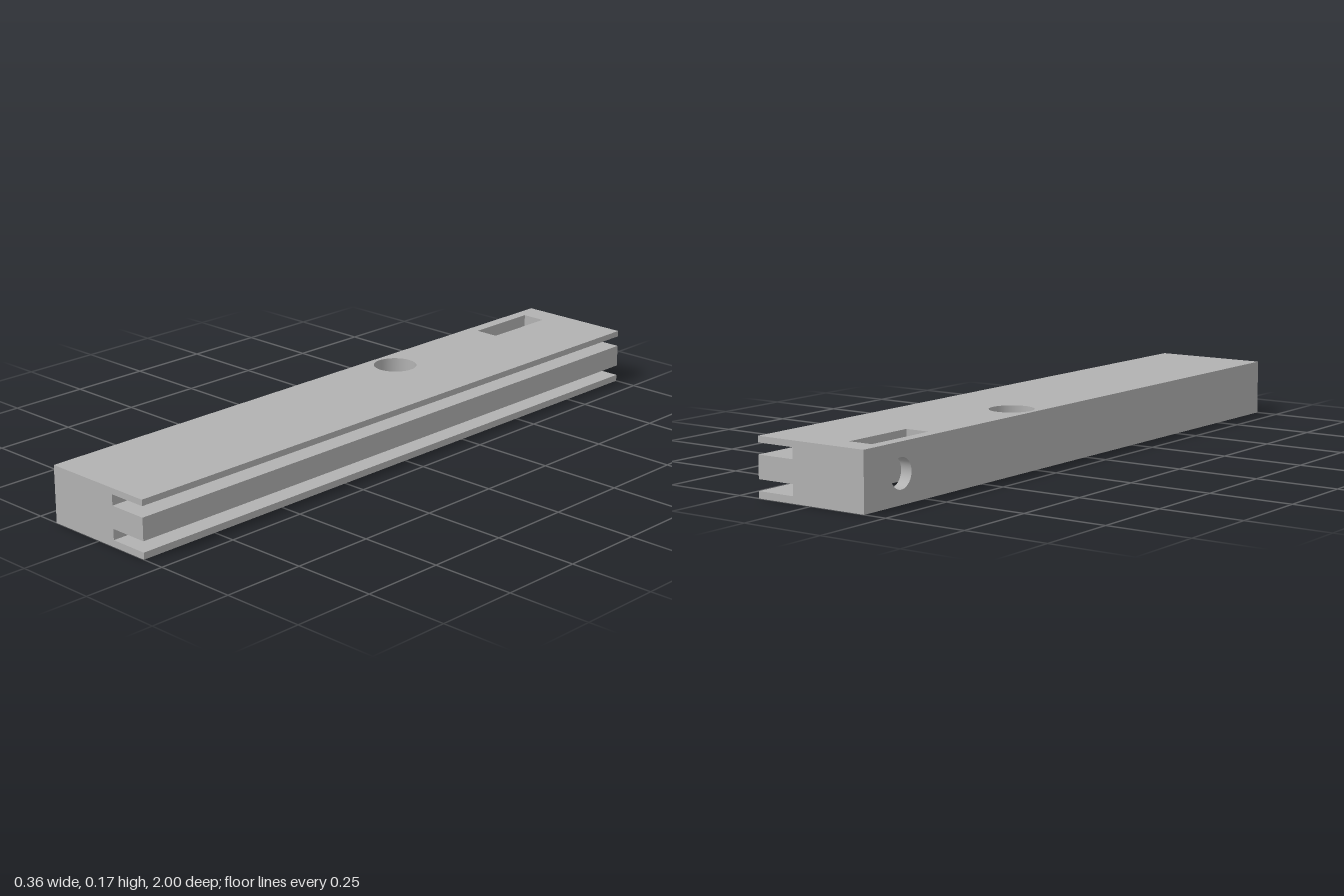
import * as THREE from 'three';

// Overall block
const X = 0.18, H = 0.168, Z = 1;
// Underside channel
const CL = -0.145, CR = 0.027, CB = -0.925, CF = 0.91, RAMP = 0.77, FLOOR = 0.09;
// Rectangular through slot in the top
const SR = -0.07, SF = -0.69;

const rect = (a0, a1, b0, b1) => [[a0, b0], [a1, b0], [a1, b1], [a0, b1]];

// Maps in-plane coordinates (a, b) and a distance along the axis to x, y, z
const place = {
  x: (a, b, d) => [d, b, a],
  y: (a, b, d) => [a, d, b],
  z: (a, b, d) => [a, b, d],
};

export function createModel() {
  const group = new THREE.Group();
  const grey = new THREE.MeshStandardMaterial({ color: 0xb2b2b2, side: THREE.DoubleSide });
  grey.name = 'grey';

  const add = (name, geometry) => {
    const mesh = new THREE.Mesh(geometry, grey);
    mesh.name = name;
    group.add(mesh);
    return mesh;
  };

  // Flat face across an axis, with optional holes; dir is the side it faces
  const face = (name, axis, at, dir, outline, holes = []) => {
    const shape = new THREE.Shape(outline.map(([a, b]) => new THREE.Vector2(a, b)));
    for (const h of holes) {
      const path = new THREE.Path();
      if (h.r) path.absarc(h.a, h.b, h.r, 0, Math.PI * 2);
      else path.setFromPoints(h.map(([a, b]) => new THREE.Vector2(a, b)));
      shape.holes.push(path);
    }
    const g = new THREE.ShapeGeometry(shape, 24);
    const p = g.attributes.position;
    for (let i = 0; i < p.count; i++) p.setXYZ(i, ...place[axis](p.getX(i), p.getY(i), at));
    g.computeVertexNormals();
    const n = g.attributes.normal;
    const side = { x: n.getX(0), y: n.getY(0), z: n.getZ(0) }[axis];
    if (side * dir < 0) {
      g.index.array.reverse();
      g.computeVertexNormals();
    }
    return add(name, g);
  };

  // Flat-sided strip: a polyline swept along an axis
  const sweep = (name, axis, from, to, line) => {
    const v = [];
    for (let i = 0; i < line.length - 1; i++) {
      const [a, b] = [line[i], line[i + 1]];
      const q = [[a, from], [b, from], [b, to], [a, to]].map(([p, d]) => place[axis](p[0], p[1], d));
      for (const k of [0, 2, 1, 0, 3, 2]) v.push(...q[k]);
    }
    const g = new THREE.BufferGeometry();
    g.setAttribute('position', new THREE.Float32BufferAttribute(v, 3));
    g.computeVertexNormals();
    return add(name, g);
  };

  // Round bore wall
  const bore = (name, r, depth, x, y, z) => {
    const mesh = add(name, new THREE.CylinderGeometry(r, r, depth, 48, 1, true));
    mesh.position.set(x, y, z);
    return mesh;
  };

  const topHole = { a: -0.1, b: -0.255, r: 0.065 };
  const underHole = { a: -0.095, b: 0.54, r: 0.05 };
  const sideHole = { a: -0.85, b: 0.084, r: 0.043 };
  const slot = rect(CL, SR, CB, SF);
  const pocketY = 0.123;

  // Outer faces
  face('topFace', 'y', H, 1, rect(-X, X, -Z, Z), [slot, topHole]);
  face('bottomFace', 'y', 0, -1, rect(-X, X, -Z, Z), [rect(CL, CR, CB, CF)]);
  face('plainSide', 'x', -X, -1, rect(-Z, Z, 0, H), [sideHole]);

  // Grooved side and the two ends sharing its profile
  const grooves = [[X, 0], [X, 0.02], [0.06, 0.02], [0.06, 0.052], [X, 0.052],
    [X, 0.118], [0.06, 0.118], [0.06, 0.15], [X, 0.15], [X, H]];
  sweep('groovedSide', 'z', Z, -Z, grooves);
  for (const s of [-1, 1]) {
    face(s > 0 ? 'frontEnd' : 'backEnd', 'z', s * Z, s, [[-X, 0], ...grooves, [-X, H]]);
  }

  // Channel walls, the outer one carrying on up into the top slot
  face('channelInnerWall', 'x', CR, -1, [[CB, 0], [CF, 0], [RAMP, FLOOR], [CB, FLOOR]]);
  face('channelOuterWall', 'x', CL, 1,
    [[CB, 0], [CF, 0], [RAMP, FLOOR], [SF, FLOOR], [SF, H], [CB, H]], [sideHole]);
  face('channelBackWall', 'z', CB, 1, rect(CL, CR, 0, FLOOR));
  sweep('channelRamp', 'x', CL, CR, [[CF, 0], [RAMP, FLOOR]]);
  face('channelFloor', 'y', FLOOR, -1, rect(CL, CR, CB, RAMP), [slot, underHole]);

  // Remaining walls of the top slot
  sweep('slotWalls', 'y', FLOOR, H, [[CL, SF], [SR, SF], [SR, CB], [CL, CB]]);

  // Blind round pockets from above and below
  for (const [name, h, y] of [['topPocket', topHole, H], ['underPocket', underHole, FLOOR]]) {
    bore(name + 'Wall', h.r, Math.abs(y - pocketY), h.a, (y + pocketY) / 2, h.b);
    const end = add(name + 'End', new THREE.CircleGeometry(h.r, 48));
    end.rotation.x = y > pocketY ? -Math.PI / 2 : Math.PI / 2;
    end.position.set(h.a, pocketY, h.b);
  }

  // Cross hole through the plain side into the slot
  bore('sideHoleWall', sideHole.r, CL + X, (CL - X) / 2, sideHole.b, sideHole.a).rotation.z = Math.PI / 2;

  return group;
}
